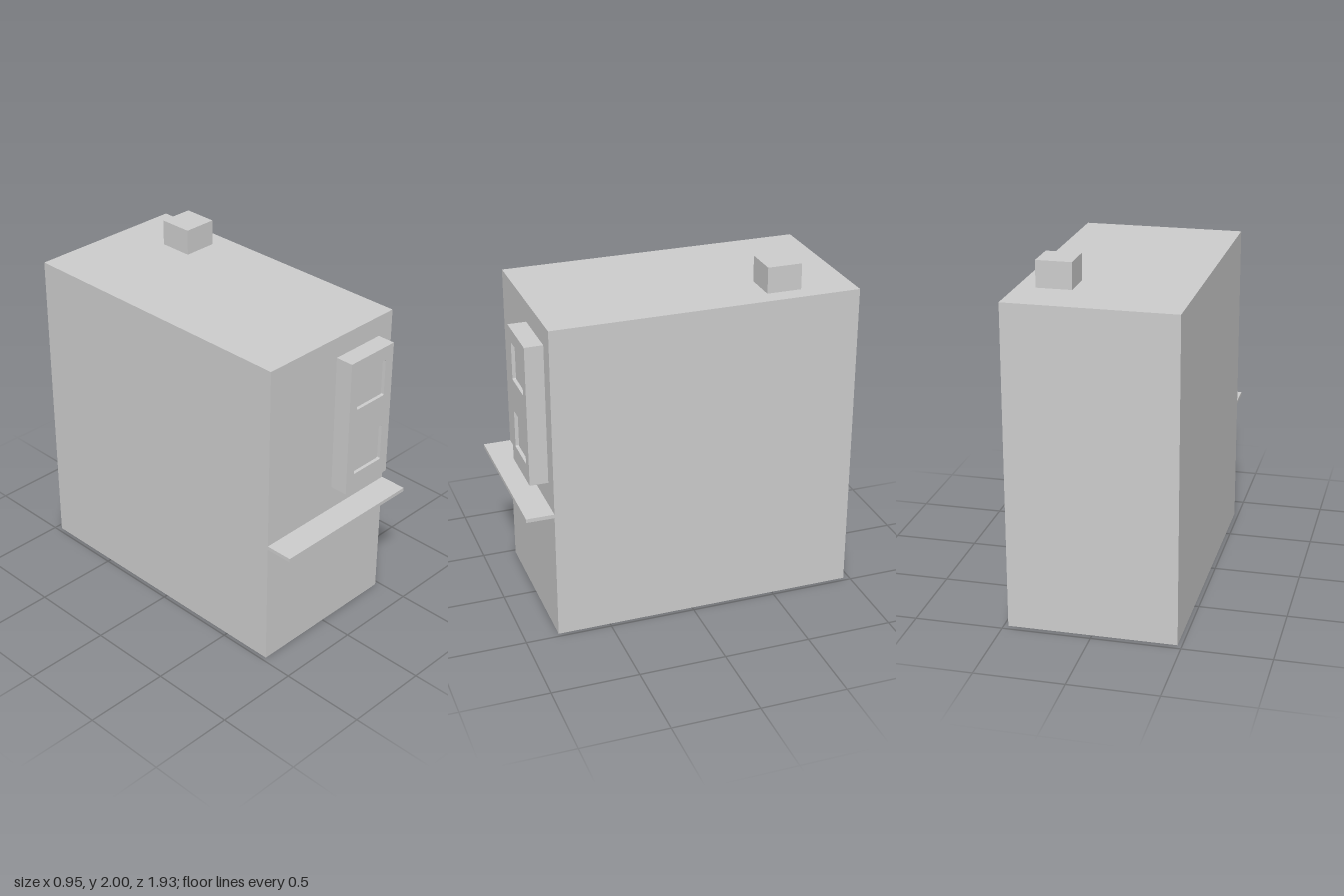
import * as THREE from 'three';

const material = new THREE.MeshStandardMaterial({ color: 0xcccccc, flatShading: true });
const shellMaterial = new THREE.MeshStandardMaterial({ color: 0xcccccc, flatShading: true, side: THREE.DoubleSide });

// Box given by its limits on each axis
function box(name, [x0, x1], [y0, y1], [z0, z1]) {
  const mesh = new THREE.Mesh(new THREE.BoxGeometry(x1 - x0, y1 - y0, z1 - z0), material);
  mesh.position.set((x0 + x1) / 2, (y0 + y1) / 2, (z0 + z1) / 2);
  mesh.name = name;
  return mesh;
}

// Rectangle path with small rounded corners
function roundedRect(path, x0, y0, x1, y1, r) {
  path.moveTo(x0 + r, y0);
  path.lineTo(x1 - r, y0);
  path.quadraticCurveTo(x1, y0, x1, y0 + r);
  path.lineTo(x1, y1 - r);
  path.quadraticCurveTo(x1, y1, x1 - r, y1);
  path.lineTo(x0 + r, y1);
  path.quadraticCurveTo(x0, y1, x0, y1 - r);
  path.lineTo(x0, y0 + r);
  path.quadraticCurveTo(x0, y0, x0 + r, y0);
  return path;
}

export function createModel() {
  const group = new THREE.Group();
  group.name = 'cabinet';

  // Thin-walled body, open underneath
  const body = box('bodyShell', [-0.475, 0.475], [0, 1.85], [-0.965, 0.805]);
  const index = Array.from(body.geometry.index.array);
  index.splice(18, 6); // the downward face
  body.geometry.setIndex(index);
  body.geometry.clearGroups();
  body.material = shellMaterial;
  group.add(body);

  // Roof vent and full-width front shelf
  group.add(box('roofVent', [0.17, 0.37], [1.85, 2], [-0.66, -0.46]));
  group.add(box('frontShelf', [-0.475, 0.475], [0.75, 0.772], [0.805, 0.965]));

  // Control panel: backing block and a face plate with two shallow recesses
  const panel = new THREE.Group();
  panel.name = 'frontPanel';
  const depth = 0.02, front = 0.91;
  panel.add(box('panelBacking', [0.03, 0.37], [0.915, 1.73], [0.805, front - depth]));
  const outline = new THREE.Shape([
    new THREE.Vector2(0.03, 0.915), new THREE.Vector2(0.37, 0.915),
    new THREE.Vector2(0.37, 1.73), new THREE.Vector2(0.03, 1.73),
  ]);
  for (const y of [1.02, 1.43]) {
    outline.holes.push(roundedRect(new THREE.Path(), 0.09, y, 0.31, y + 0.22, 0.008));
  }
  const plate = new THREE.Mesh(
    new THREE.ExtrudeGeometry(outline, { depth, bevelEnabled: false, curveSegments: 4 }), material);
  plate.position.z = front - depth;
  plate.name = 'panelFace';
  panel.add(plate);
  group.add(panel);

  // Slab fixed to the inside of the front wall
  group.add(box('innerSlab', [0.06, 0.43], [0.4, 0.75], [0.76, 0.803]));

  return group;
}
